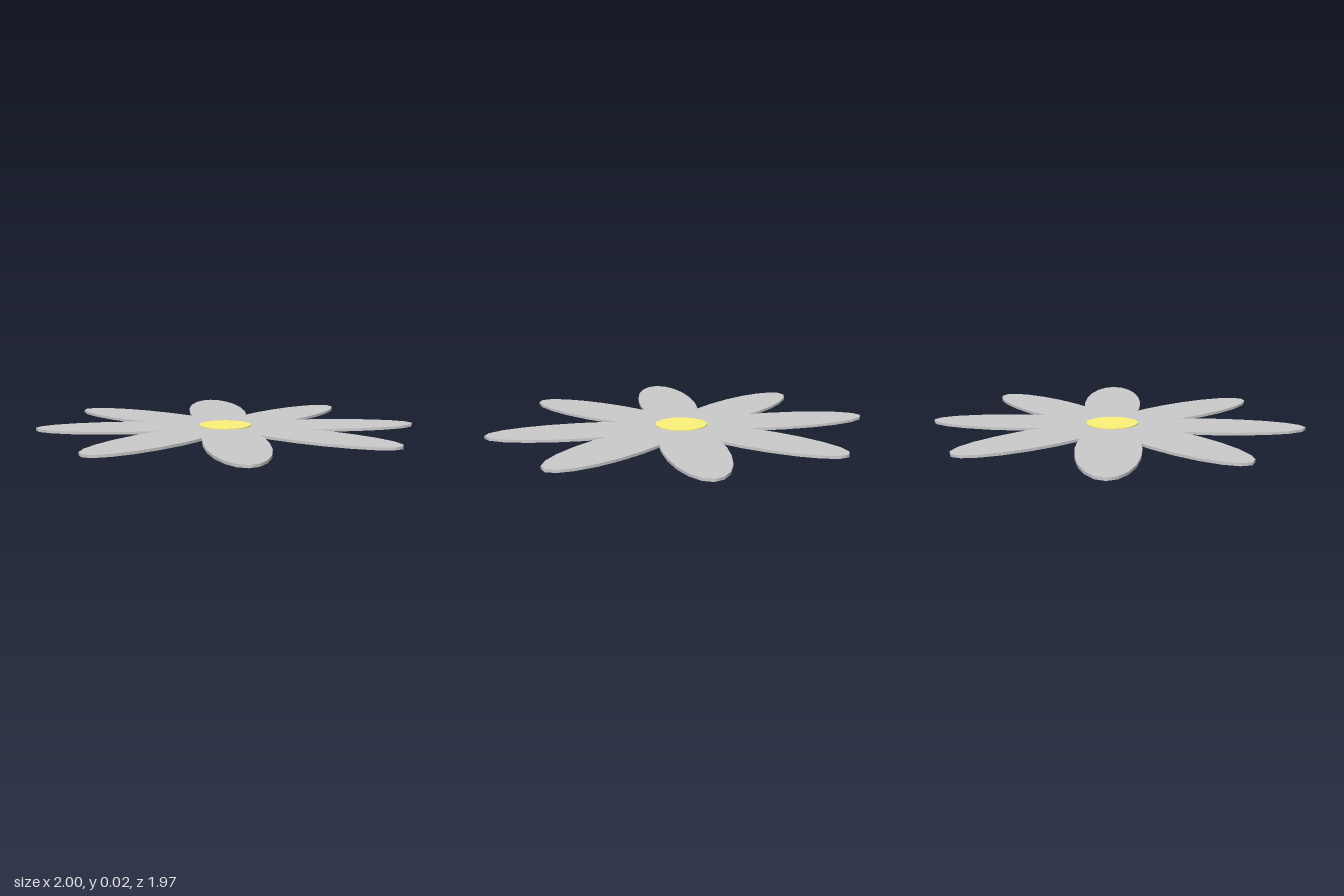
import * as THREE from 'three';

const PETAL_HALF_LENGTH = 0.49;
const PETAL_HALF_WIDTH = 0.16;

// A flat upright disc spanning the heights y0 to y1
function disc(name, radius, y0, y1, sides, material) {
  const geometry = new THREE.CylinderGeometry(radius, radius, y1 - y0, sides);
  geometry.translate(0, (y0 + y1) / 2, 0);
  const mesh = new THREE.Mesh(geometry, material);
  mesh.name = name;
  return mesh;
}

export function createModel() {
  const flower = new THREE.Group();
  flower.name = 'flower';
  const grey = new THREE.MeshStandardMaterial({ color: 0xcccccc });
  const yellow = new THREE.MeshStandardMaterial({ color: 0xfff47a });

  // Hand-placed petals: centre x, centre z, heading in degrees from +z towards +x
  const petals = [
    [-0.008, 0.494, 0],
    [0.392, 0.324, 48.7],
    [0.51, -0.013, 88.5],
    [0.33, -0.34, 135],
    [-0.008, -0.5, 180],
    [-0.396, -0.368, 228.8],
    [-0.51, -0.033, 269],
    [-0.376, 0.341, 314.6],
  ];
  petals.forEach(([x, z, heading], i) => {
    const petal = disc(`petal${i + 1}`, 1, 0.002, 0.016, 20, grey);
    petal.scale.set(PETAL_HALF_WIDTH, 1, PETAL_HALF_LENGTH);
    petal.rotation.y = THREE.MathUtils.degToRad(heading);
    petal.position.set(x, 0, z);
    flower.add(petal);
  });

  // Round yellow centre, standing slightly proud on both faces
  const centre = disc('flowerCentre', 0.136, 0, 0.021, 40, yellow);
  centre.position.set(-0.01, 0, -0.02);
  flower.add(centre);

  return flower;
}
